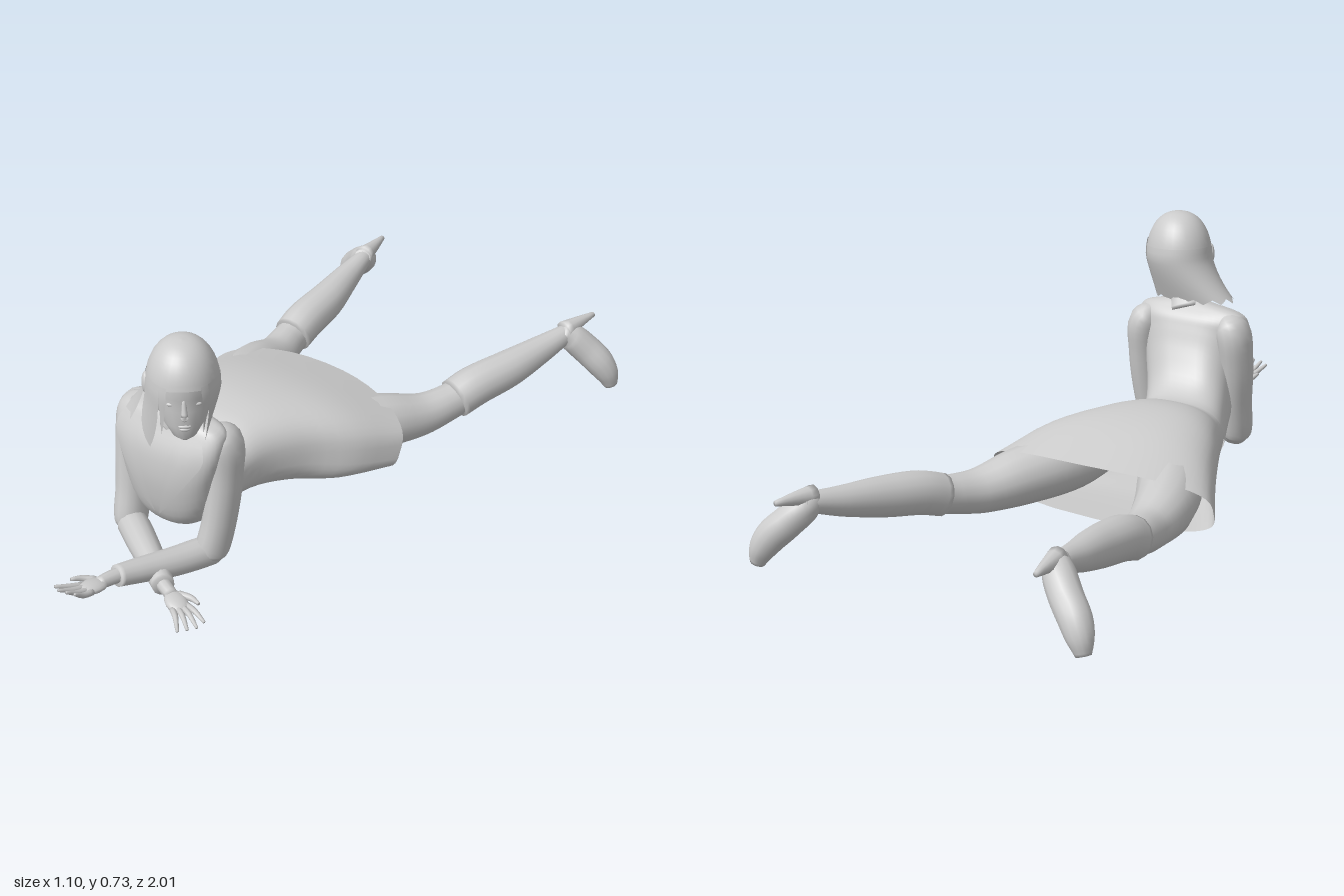
import * as THREE from 'three';

const V = (x, y, z) => new THREE.Vector3(x, y, z);
const TAU = Math.PI * 2;
const grey = new THREE.MeshStandardMaterial({ color: 0xcccccc });
const greyThin = new THREE.MeshStandardMaterial({ color: 0xcccccc, side: THREE.DoubleSide });

// Skin a grid of points; rows run along the part, columns run around it
function surface(name, rows, closed = true, material = grey) {
  const n = rows[0].length, cols = closed ? n : n - 1, index = [];
  for (let i = 0; i < rows.length - 1; i++)
    for (let j = 0; j < cols; j++) {
      const a = i * n + j, b = i * n + (j + 1) % n;
      index.push(a, b, a + n, b, b + n, a + n);
    }
  const g = new THREE.BufferGeometry().setFromPoints(rows.flat());
  g.setIndex(index);
  g.computeVertexNormals();
  const mesh = new THREE.Mesh(g, material);
  mesh.name = name;
  return mesh;
}

const grid = (rows, cols, f) => Array.from({ length: rows + 1 }, (_, i) =>
  Array.from({ length: cols }, (_, j) => f(i / rows, j)));

// Closed rounded limb through stations [x, y, z, radius]; deep widens it front to back
function limb(name, stations, { sides = 14, per = 5, deep = 1 } = {}) {
  const path = new THREE.CatmullRomCurve3(stations.map(s => V(s[0], s[1], s[2])));
  const radii = new THREE.CatmullRomCurve3(stations.map((s, i) => V(s[3], i, 0)), false, 'catmullrom');
  const upright = Math.abs(stations.at(-1)[1] - stations[0][1]) > 0.25;
  const rows = grid((stations.length - 1) * per, sides, (t, j) => {
    const T = path.getTangent(t);
    const ref = upright ? V(0, 0, 1) : V(0, 1, 0);
    const N = ref.addScaledVector(T, -ref.dot(T)).normalize();
    const B = T.clone().cross(N), a = j / sides * TAU, r = radii.getPoint(t).x;
    return path.getPoint(t).addScaledVector(N, deep * r * Math.cos(a)).addScaledVector(B, r * Math.sin(a));
  });
  const cap = k => Array.from({ length: sides }, () => path.getPoint(k));
  return surface(name, [cap(0), ...rows, cap(1)]);
}

function ball(name, p, s, parent) {
  const m = new THREE.Mesh(new THREE.SphereGeometry(1, 14, 10), grey);
  m.position.set(...p);
  m.scale.set(...s);
  m.name = name;
  parent.add(m);
  return m;
}

// Torso stations: back z, back y, belly z, belly y, centre x, half width, hem bow
const TORSO = [
  [-.265, .2, -.18, .006, -.09, .36, .065],
  [-.06, .255, 0, .004, -.09, .293, .01],
  [.09, .27, .1, .012, -.113, .22, 0],
  [.2, .255, .22, .028, -.117, .165, 0],
  [.29, .222, .36, .045, -.097, .135, 0],
  [.36, .26, .47, .07, -.065, .132, 0],
  [.41, .34, .57, .13, -.035, .142, 0],
  [.435, .4, .605, .25, -.027, .16, 0],
  [.45, .435, .603, .36, -.027, .178, 0],
  [.475, .46, .57, .435, -.025, .163, 0],
  [.495, .475, .555, .465, -.005, .07, 0]];
const spline = f => new THREE.CatmullRomCurve3(TORSO.map(f), false, 'catmullrom');
const backLine = spline(r => V(0, r[1], r[0]));
const bellyLine = spline(r => V(0, r[3], r[2]));
const widthLine = spline(r => V(r[4], r[5], r[6]));

function torsoPoint(station, angle, swell = 1) {
  const t = station / (TORSO.length - 1);
  const back = backLine.getPoint(t), belly = bellyLine.getPoint(t), w = widthLine.getPoint(t);
  // The skirt lies flat against the ground, and the upper back is broad
  const power = Math.sin(angle) < 0 ? .45 + .4 * Math.min(1, station / 4) : .85 - .02 * station;
  const soft = v => Math.sign(v) * Math.abs(v) ** power;
  const c = soft(Math.cos(angle)), s = soft(Math.sin(angle));
  const p = back.clone().add(belly).multiplyScalar(0.5).addScaledVector(back.sub(belly), 0.5 * s * swell);
  p.x = w.x + w.y * c * swell;
  p.z += w.z * c * c;
  return p;
}

// Hand: local z runs to the fingertips, y is up
function hand(name, wrist, target, thumbSide, lift, reach) {
  const g = new THREE.Group();
  g.name = name;
  const slim = { sides: 8, per: 3 };
  ball('palm', [0, 0, .04], [.031, .015, .047], g);
  for (let i = 0; i < 4; i++) {
    const k = i - 1.5, len = reach - .008 * Math.abs(k - thumbSide * .4);
    g.add(limb('finger', [[k * .014, 0, .06, .009], [k * .019, .008, .06 + len * .5, .008],
      [k * .025, lift + .004 * k, .06 + len, .0045]], slim));
  }
  g.add(limb('thumb', [[thumbSide * .018, 0, .015, .011], [thumbSide * .04, .006, .045, .009],
    [thumbSide * .047, .012, .078, .005]], slim));
  g.position.copy(wrist);
  g.lookAt(target);
  return g;
}

function createHead() {
  const head = new THREE.Group();
  head.name = 'head';
  // Skull and jaw: height, half width, front, back
  const skull = [[-.137, .012, .082, .05], [-.122, .036, .096, .01], [-.085, .063, .1, -.045], [-.035, .078, .099, -.085],
    [.0, .083, .094, -.09], [.04, .083, .1, -.09], [.08, .072, .083, -.08], [.118, .03, .03, -.04]];
  head.add(surface('face', skull.map(([y, w, f, b]) => Array.from({ length: 22 }, (_, j) => {
    const a = j / 22 * TAU;
    return V(w * Math.cos(a), y, (f + b) / 2 - (f - b) / 2 * Math.sin(a));
  }))));
  head.add(limb('nose', [[0, .002, .087, .006], [0, -.03, .1, .008], [0, -.046, .105, .01], [0, -.053, .097, .008]],
    { sides: 8, per: 3 }));
  ball('upperLip', [0, -.08, .097], [.018, .005, .006], head);
  ball('lowerLip', [0, -.09, .095], [.016, .006, .007], head);
  for (const s of [-1, 1]) ball('eye', [s * .032, -.016, .082], [.015, .006, .007], head);
  // The other ear is under the hair
  ball('rightEar', [-.098, -.005, -.005], [.012, .033, .02], head).rotation.x = -.15;

  // Hair follows a dome, then sweeps to the back right
  const hairPoint = (a, y, grow = 1) => {
    const r = y > 0 ? Math.sqrt(Math.max(0, 1 - (y / .132) ** 2)) ** .85 : 1 + y * .4;
    const drop = Math.max(0, -y) / .13, swing = drop ** 1.4 * (1 - Math.cos(a)) / 2;
    return V(Math.sin(a) * .1 * r * grow - .088 * swing, y, Math.cos(a) * .112 * r * grow - .03 * swing);
  };
  // Crown, with a fringe that lifts at the middle of the brow
  head.add(surface('hairCrown', grid(10, 28, (t, j) => {
    const a = j / 28 * TAU, edge = .018 + .022 * Math.max(0, Math.cos(a)) ** 2;
    return hairPoint(a, edge + (.132 - edge) * Math.sin(t * Math.PI / 2));
  }), true, greyThin));
  head.add(surface('hairBack', grid(10, 29, (t, j) => {
    const a = 1.1 + j / 28 * (TAU - 2.7);
    const jag = t > .95 ? (j % 4) * .005 : 0;
    return hairPoint(a, .03 - .17 * t + jag, 1.01);
  }), false, greyThin));
  for (const s of [-1, 1]) {
    // Pointed locks framing the face
    for (const [from, to, tip, low, taper] of [[.72, 1.4, .85, -.17, 3], [.48, .72, .6, -.11, 1.5]])
      head.add(surface('sideLock', grid(10, 6, (t, j) => {
        const a = from + (to - from) * j / 5;
        return hairPoint(s * (a + (tip - a) * t ** taper), .045 + (low - .045) * t, 1.025);
      }), false, greyThin));
  }
  head.position.set(.048, .6, .556);
  head.rotation.set(.08, .72, 0, 'YXZ');
  return head;
}

export function createModel() {
  const model = new THREE.Group();
  model.name = 'recliningFigure';

  // Open skirt, fitted jacket and its lapels
  const ring = 44;
  model.add(surface('skirt', grid(16, ring, (t, j) => torsoPoint(t * 4.2, j / ring * TAU)), true, greyThin));
  model.add(surface('jacket', grid(28, ring, (t, j) =>
    torsoPoint(3.9 + t * 6.1, j / ring * TAU, 1 + .03 * (1 - t))), true, greyThin));
  for (const s of [-1, 1])
    model.add(surface('lapel', grid(10, 5, (t, j) => {
      const spread = t < .65 ? t * 1.1 : .72 - (t - .65) * .7;
      return torsoPoint(6.3 + 2.6 * t, -Math.PI / 2 + s * (.03 + .3 * t + spread * j / 4), 1.05);
    }), false, greyThin));
  model.add(limb('neck', [[-.005, .44, .515, .06], [.015, .49, .53, .043], [.045, .56, .55, .042]]));
  model.add(createHead());

  // Arms, propped on the elbows
  const arm = { deep: 1.22 }, cuff = { sides: 10, per: 3 };
  model.add(limb('rightUpperArm', [[-.145, .44, .5, .02], [-.174, .405, .49, .05], [-.184, .3, .5, .05],
    [-.175, .16, .525, .046], [-.167, .06, .55, .044], [-.162, .03, .555, .025]], arm));
  model.add(limb('rightForearm', [[-.18, .05, .55, .03], [-.15, .055, .565, .044], [-.05, .058, .63, .043],
    [.06, .055, .7, .035], [.105, .053, .73, .031]]));
  model.add(limb('leftUpperArm', [[.09, .435, .5, .02], [.121, .4, .485, .049], [.13, .3, .49, .047],
    [.125, .16, .51, .045], [.112, .06, .53, .044], [.11, .03, .535, .025]], arm));
  model.add(limb('leftForearm', [[.115, .05, .5, .03], [.105, .055, .53, .043], [.07, .065, .64, .042],
    [.03, .085, .76, .035], [.014, .095, .815, .031]]));
  model.add(limb('rightWrist', [[.08, .054, .715, .022], [.12, .052, .735, .02], [.15, .05, .747, .018]], cuff));
  model.add(limb('leftWrist', [[.02, .093, .79, .022], [.008, .098, .84, .02], [.003, .1, .875, .018]], cuff));
  model.add(hand('rightHand', V(.14, .052, .742), V(.28, .03, .81), 1, -.006, .085));
  model.add(hand('leftHand', V(.006, .098, .855), V(-.015, .115, 1), -1, .025, .09));

  // Legs, spread behind: thigh, stocking and heeled shoe
  model.add(limb('rightThigh', [[-.18, .14, .1, .05], [-.265, .125, -.06, .092], [-.33, .105, -.22, .086],
    [-.345, .09, -.34, .066], [-.36, .1, -.42, .056], [-.365, .11, -.48, .054]]));
  model.add(limb('rightStocking', [[-.364, .107, -.455, .062], [-.365, .13, -.52, .063], [-.366, .15, -.64, .058],
    [-.38, .174, -.77, .043], [-.385, .195, -.86, .03], [-.388, .198, -.9, .026]]));
  model.add(limb('leftThigh', [[-.02, .14, .1, .045], [.055, .125, -.06, .086], [.143, .105, -.22, .084],
    [.205, .09, -.34, .066], [.24, .1, -.42, .057], [.262, .112, -.48, .054]]));
  model.add(limb('leftStocking', [[.255, .107, -.455, .062], [.28, .13, -.52, .063], [.325, .15, -.64, .058],
    [.365, .174, -.77, .043], [.395, .195, -.86, .03], [.405, .198, -.89, .026]]));
  model.add(limb('rightShoe', [[-.38, .208, -.855, .026], [-.4, .183, -.89, .043], [-.445, .14, -.93, .046],
    [-.487, .1, -.957, .045], [-.512, .06, -.974, .037], [-.526, .02, -.982, .021]]));
  model.add(limb('leftShoe', [[.388, .208, -.84, .026], [.408, .183, -.873, .043], [.448, .14, -.902, .046],
    [.487, .1, -.92, .045], [.512, .06, -.932, .037], [.526, .02, -.938, .021]]));
  model.add(limb('rightHeel', [[-.385, .21, -.87, .03], [-.392, .212, -.935, .019], [-.4, .215, -.997, .008]], cuff));
  model.add(limb('leftHeel', [[.395, .212, -.85, .03], [.41, .219, -.91, .019], [.425, .224, -.972, .008]], cuff));
  return model;
}
